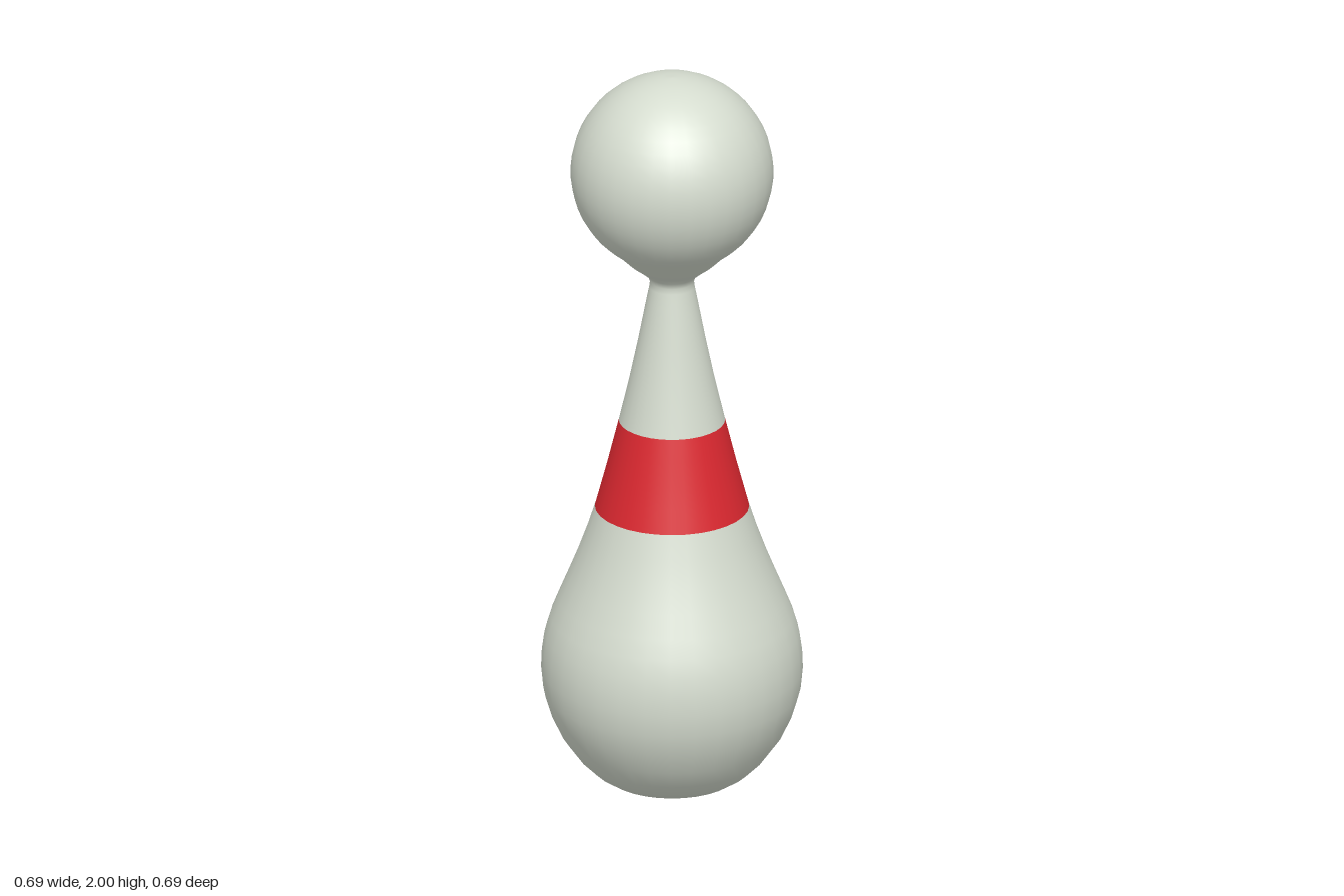
import * as THREE from 'three';

const SIDES = 32;
const paint = (color) => new THREE.MeshStandardMaterial({ color });

// Revolves a list of [radius, height] points around the y axis.
function turned(name, points, material) {
  const profile = points.map(([r, y]) => new THREE.Vector2(r, y));
  const mesh = new THREE.Mesh(new THREE.LatheGeometry(profile, SIDES), material);
  mesh.name = name;
  return mesh;
}

export function createModel() {
  const group = new THREE.Group();
  group.name = 'skittle';
  const ivory = paint(0xd5dccf);
  const red = paint(0xdc2830);

  // Bulbous belly, from the flat foot up to the stripe
  const belly = [
    [0, 0], [0.08, 0.002], [0.14, 0.007], [0.175, 0.017], [0.21, 0.04], [0.25, 0.08],
    [0.29, 0.136], [0.32, 0.2], [0.338, 0.26], [0.344, 0.32], [0.342, 0.37],
    [0.335, 0.42], [0.32, 0.47], [0.3, 0.52], [0.275, 0.58], [0.25, 0.642],
    [0.225, 0.711], [0.203, 0.78],
  ];
  // Painted band around the waist
  const stripe = [[0.203, 0.78], [0.187, 0.84], [0.171, 0.9], [0.155, 0.965], [0.14, 1.025]];
  // Tapering neck that flares into the ball head
  const neckAndHead = [
    [0.14, 1.025], [0.113, 1.14], [0.088, 1.26], [0.067, 1.37], [0.06, 1.405],
    [0.058, 1.42], [0.063, 1.436], [0.085, 1.455], [0.115, 1.478],
  ];
  const radius = 0.267, centre = 2 - radius, start = -0.98, steps = 20;
  for (let i = 0; i <= steps; i++) {
    const a = start + (Math.PI / 2 - start) * (i / steps);
    neckAndHead.push([i === steps ? 0 : radius * Math.cos(a), centre + radius * Math.sin(a)]);
  }

  group.add(
    turned('belly', belly, ivory),
    turned('stripe', stripe, red),
    turned('neckAndHead', neckAndHead, ivory),
  );
  return group;
}
